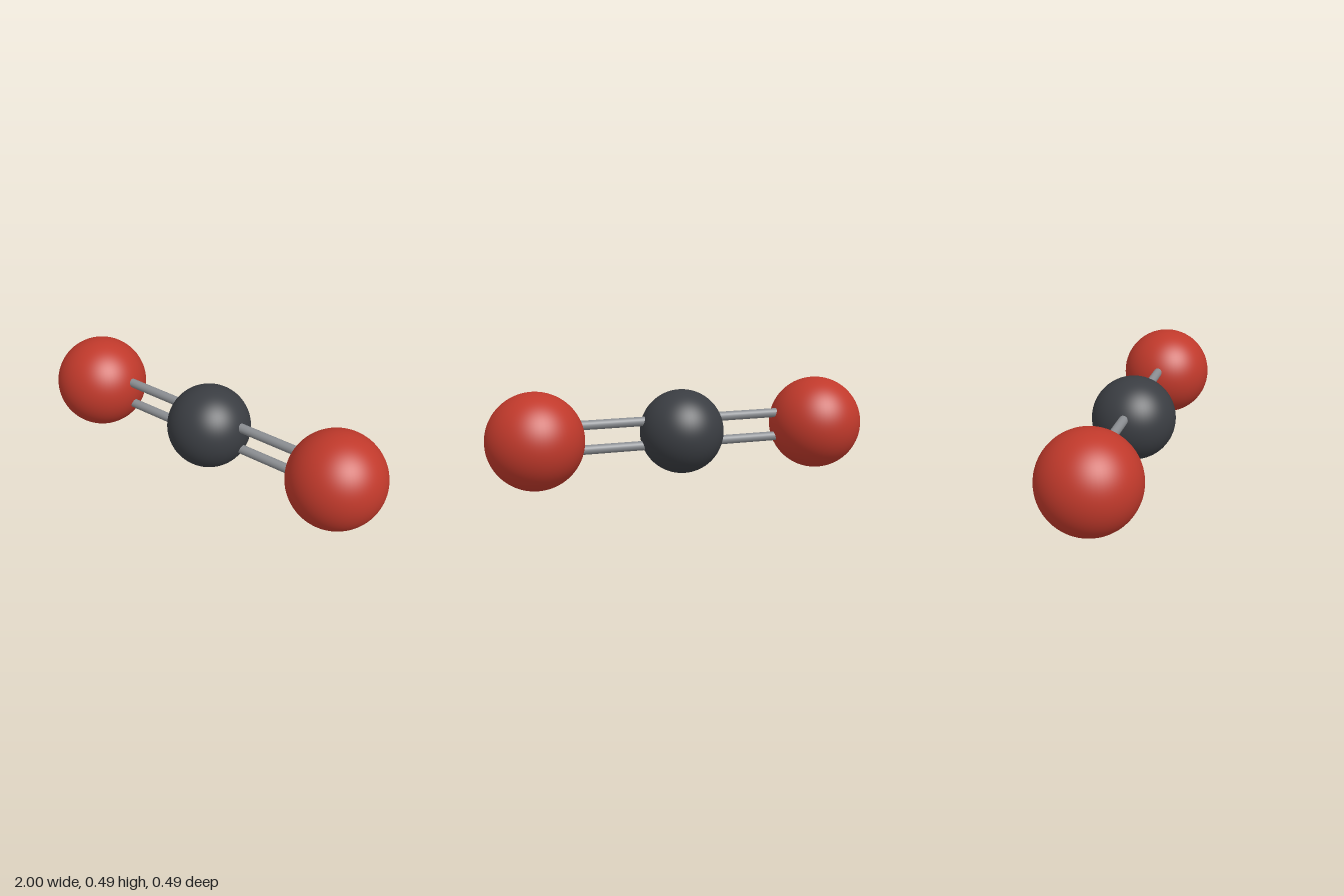
import * as THREE from 'three';

const CENTER_Y = 0.246;
const END_X = 0.755;

export function createModel() {
  const model = new THREE.Group();
  model.name = 'ballAndStickMolecule';

  const red = new THREE.MeshStandardMaterial({ color: 0xc0392b });
  const charcoal = new THREE.MeshStandardMaterial({ color: 0x3a3d42 });
  const steel = new THREE.MeshStandardMaterial({ color: 0x8a8d91 });

  const add = (name, geometry, material, x, y) => {
    const mesh = new THREE.Mesh(geometry, material);
    mesh.name = name;
    mesh.position.set(x, y, 0);
    model.add(mesh);
  };

  // Central atom
  add('centralAtom', new THREE.SphereGeometry(0.217, 64, 48), charcoal, 0, CENTER_Y);

  // Outer atoms and the double bonds joining them to the centre
  const outerAtom = new THREE.SphereGeometry(0.245, 64, 48);
  const rod = new THREE.CylinderGeometry(0.024, 0.024, END_X, 24).rotateZ(Math.PI / 2);
  for (const [side, sign] of [['left', 1], ['right', -1]]) {
    add(`${side}OuterAtom`, outerAtom, red, sign * END_X, CENTER_Y);
    add(`${side}UpperBond`, rod, steel, sign * END_X / 2, CENTER_Y + 0.065);
    add(`${side}LowerBond`, rod, steel, sign * END_X / 2, CENTER_Y - 0.062);
  }

  return model;
}
